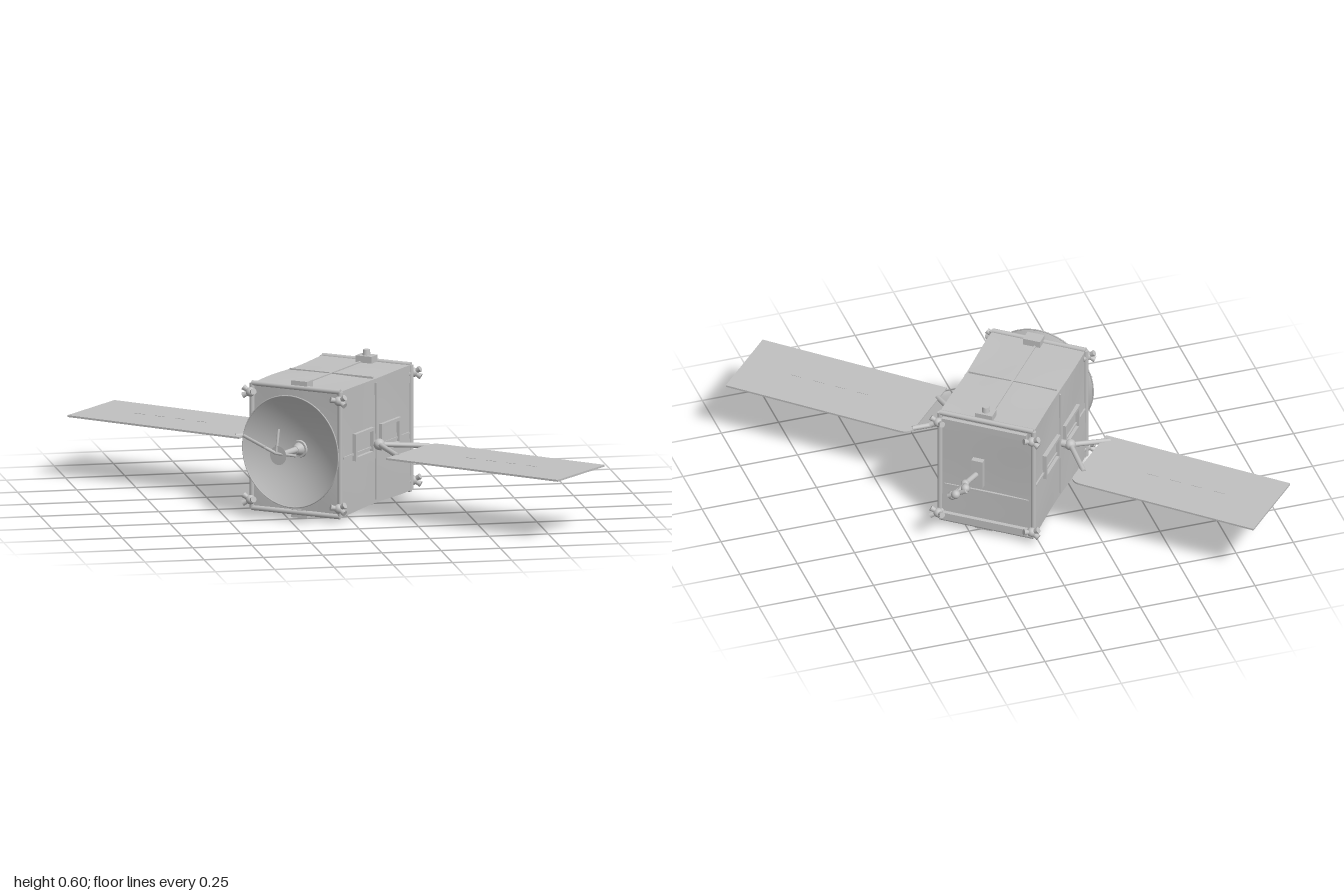
import * as THREE from 'three';

const rad = THREE.MathUtils.degToRad;
const V = (x, y, z) => new THREE.Vector3(x, y, z);

export function createModel() {
  const model = new THREE.Group();
  model.name = 'satellite';
  const grey = new THREE.MeshStandardMaterial({ color: 0xc0c0c0 });
  grey.name = 'satelliteGrey';
  const greyOpen = new THREE.MeshStandardMaterial({ color: 0xc0c0c0, side: THREE.DoubleSide });
  greyOpen.name = 'satelliteGreyThin';

  const add = (parent, name, geo, x = 0, y = 0, z = 0, mat = grey) => {
    const m = new THREE.Mesh(geo, mat);
    m.name = name;
    m.position.set(x, y, z);
    parent.add(m);
    return m;
  };
  const box = (p, name, w, h, d, x, y, z) => add(p, name, new THREE.BoxGeometry(w, h, d), x, y, z);
  const ball = (p, name, r, x, y, z) => add(p, name, new THREE.SphereGeometry(r, 14, 10), x, y, z);
  // Straight rod or cone from a to b
  const rod = (p, name, a, b, r0, r1 = r0) => {
    const d = b.clone().sub(a);
    const m = add(p, name, new THREE.CylinderGeometry(r1, r0, d.length(), 12));
    m.position.copy(a).addScaledVector(d, 0.5);
    m.quaternion.setFromUnitVectors(V(0, 1, 0), d.normalize());
    return m;
  };

  // Bus: everything on the main box shares this turned frame
  const bus = new THREE.Group();
  bus.name = 'bus';
  bus.rotation.y = rad(-38.5);
  model.add(bus);
  const X0 = -0.235, X1 = 0.178, Z0 = -0.325, Z1 = 0.305, Y0 = 0.022, Y1 = 0.55;
  const cx = (X0 + X1) / 2, cy = (Y0 + Y1) / 2, cz = (Z0 + Z1) / 2;
  const W = X1 - X0, H = Y1 - Y0, D = Z1 - Z0;

  // Body wrapped in a softly wrinkled blanket
  const skin = new THREE.BoxGeometry(W, H, D, 28, 32, 36);
  const pos = skin.attributes.position;
  for (let i = 0; i < pos.count; i++) {
    const x = pos.getX(i), y = pos.getY(i), z = pos.getZ(i);
    const wave = Math.sin(14 * x + 9 * y) + Math.sin(11 * y - 13 * z + 1) + Math.sin(12 * z + 10 * x + 2);
    const k = 1 + 0.006 * wave;
    pos.setXYZ(i, x * k, y * (1 + 0.004 * wave), z * k);
  }
  skin.computeVertexNormals();
  add(bus, 'body', skin, cx, cy, cz);

  // Seams across each blanket face
  for (const s of [-1, 1]) {
    const y = cy + s * H / 2, x = cx + s * W / 2, z = cz + s * D / 2;
    box(bus, 'lengthSeam', 0.008, 0.012, D * 0.94, cx, y, cz);
    box(bus, 'crossSeam', W * 0.94, 0.012, 0.008, cx, y, cz);
    box(bus, 'sideSeam', 0.012, H * 0.94, 0.008, x, cy, cz);
    box(bus, 'sideBelt', 0.012, 0.008, D * 0.94, x, cy - 0.02, cz);
    box(bus, 'endSeam', W * 0.9, 0.008, 0.01, cx, cy - 0.09, z);
  }

  // Rolled edges around both ends
  for (const z of [Z0, Z1]) {
    for (const y of [Y0, Y1]) rod(bus, 'endRail', V(X0, y, z), V(X1, y, z), 0.011);
    for (const x of [X0, X1]) rod(bus, 'cornerPost', V(x, Y0, z), V(x, Y1, z), 0.011);
  }
  // Back lip standing off the top edge
  box(bus, 'backLip', W * 0.9, 0.03, 0.018, cx, Y1 - 0.02, Z0 - 0.026);
  box(bus, 'backLipLower', W * 0.9, 0.03, 0.018, cx, Y0 + 0.03, Z0 - 0.02);

  // Thruster clusters at the eight corners
  for (const sx of [-1, 1]) for (const sy of [-1, 1]) for (const sz of [-1, 1]) {
    const c = V(sx < 0 ? X0 : X1, cy + sy * 0.228, sz < 0 ? Z0 - 0.022 : Z1 + 0.015);
    const g = new THREE.Group();
    g.name = 'thrusterCluster';
    g.position.copy(c);
    bus.add(g);
    ball(g, 'thrusterHub', 0.02, 0, 0, 0);
    rod(g, 'thrusterArm', V(-sx * 0.01, 0, -sz * 0.035), V(0, 0, 0), 0.013);
    for (const [dx, dy, dz] of [[1, 0.6, 0.1], [1, -0.5, 0.2], [-0.7, 0.2, 0.6]]) {
      const tip = V(sx * dx, dy, sz * dz).setLength(0.036);
      rod(g, 'thrusterNozzle', V(0, 0, 0), tip, 0.007, 0.013);
    }
  }

  // Sensor blocks above and below
  for (const z of [0.283, -0.293]) {
    box(bus, 'topSensor', 0.075, 0.034, 0.055, -0.013, Y1 + 0.012, z);
    box(bus, 'bottomSensor', 0.075, 0.034, 0.055, -0.013, 0.017, z);
  }
  add(bus, 'topKnob', new THREE.CylinderGeometry(0.014, 0.018, 0.03, 14), -0.013, 0.588, -0.293);

  // Framed equipment bays on both sides
  for (const x of [X0 - 0.004, X1 + 0.004]) for (const [z, w] of [[0.11, 0.17], [-0.125, 0.17]]) {
    for (const s of [-1, 1]) {
      box(bus, 'bayRail', 0.022, 0.014, w, x, 0.295 + s * 0.05, z);
      box(bus, 'bayPost', 0.022, 0.1, 0.014, x, 0.295, z + s * (w / 2 - 0.007));
    }
  }

  // Back steering antenna on a forked arm
  const arm = new THREE.Group();
  arm.name = 'backAntenna';
  bus.add(arm);
  const elbow = V(0.025, 0.3, -0.44);
  rod(arm, 'antennaArm', V(0.005, 0.29, Z0), elbow, 0.012);
  ball(arm, 'antennaElbow', 0.018, elbow.x, elbow.y, elbow.z);
  for (const [x, y, z] of [[0, 0.325, -0.505], [0.055, 0.28, -0.51], [0.03, 0.31, -0.54]]) {
    rod(arm, 'antennaFork', elbow, V(x, y, z), 0.009);
    ball(arm, 'antennaTip', 0.019, x, y, z);
  }
  rod(arm, 'antennaCrossbar', V(-0.01, 0.325, -0.52), V(0.07, 0.28, -0.52), 0.01);
  box(arm, 'antennaMount', 0.05, 0.13, 0.025, 0.005, 0.295, Z0 - 0.015);

  // Dish, opening along its own +y
  const axis = V(-0.686, 0, 0.727);
  const rim = V(-0.253, 0.297, 0.307);
  const dish = new THREE.Group();
  dish.name = 'dishAntenna';
  dish.position.copy(rim);
  dish.quaternion.setFromUnitVectors(V(0, 1, 0), axis);
  model.add(dish);
  const bowl = [];
  for (let i = 0; i <= 14; i++) {
    const t = i / 14;
    bowl.push(new THREE.Vector2(0.236 * t, -0.075 * (1 - t * t)));
  }
  add(dish, 'dishBowl', new THREE.LatheGeometry(bowl, 56), 0, 0, 0, greyOpen);
  add(dish, 'dishRim', new THREE.TorusGeometry(0.235, 0.003, 6, 56).rotateX(Math.PI / 2));
  add(dish, 'dishMount', new THREE.CylinderGeometry(0.035, 0.05, 0.06, 20), 0, -0.095, 0);
  add(dish, 'feedBase', new THREE.CylinderGeometry(0.016, 0.03, 0.035, 20), 0, -0.055, 0);
  add(dish, 'feedHorn', new THREE.CylinderGeometry(0.011, 0.014, 0.14, 16), 0, 0.015, 0);
  add(dish, 'subreflector', new THREE.CylinderGeometry(0.04, 0.03, 0.014, 28), 0, 0.088, 0);
  // Subreflector struts
  const hub = V(-0.325, 0.305, 0.372);
  const knee = V(-0.365, 0.325, 0.34);
  rod(model, 'dishStrut', hub, knee, 0.007);
  rod(model, 'dishStrut', knee, V(-0.425, 0.345, 0.18), 0.007);
  rod(model, 'dishStrut', hub, V(-0.312, 0.405, 0.355), 0.006);
  rod(model, 'dishStrut', hub, V(-0.25, 0.3, 0.415), 0.006);

  // Solar wings: plate, cell ribs underneath, seam dashes on top
  const L = 0.42, B = 0.183, T = 0.008;
  const wing = (name, x, z, angle, s) => {
    const g = new THREE.Group();
    g.name = name;
    g.position.set(x, 0.269, z);
    g.rotation.y = rad(angle);
    model.add(g);
    const sh = new THREE.Shape();
    sh.moveTo(L, -B);
    sh.lineTo(L, B);
    if (s > 0) {
      sh.lineTo(-L + 0.05, B);
      sh.quadraticCurveTo(-L, B, -L, B - 0.05);
      sh.lineTo(-L, -B);
    } else {
      sh.lineTo(-L, B);
      sh.lineTo(-L, -B + 0.05);
      sh.quadraticCurveTo(-L, -B, -L + 0.05, -B);
    }
    sh.closePath();
    const plate = new THREE.ExtrudeGeometry(sh, { depth: T, bevelEnabled: false, curveSegments: 8 });
    add(g, 'solarPanel', plate.rotateX(Math.PI / 2), 0, T / 2, 0);
    for (let i = 0; i < 9; i++) {
      const side = i % 2 ? 1 : -1;
      box(g, 'cellRib', 0.006, 0.005, B * 1.3, -0.34 + i * 0.085, -T / 2 - 0.001, side * 0.04);
    }
    for (const k of [-0.06, 0.06]) box(g, 'panelSpar', 0.74, 0.005, 0.006, 0, -T / 2 - 0.001, k);
    for (let i = 0; i < 4; i++) box(g, 'seamDash', 0.05, 0.003, 0.004, -0.12 + i * 0.1, T / 2, 0);
  };
  wing('leftWing', 0.565, 0.548, -43, -1);
  wing('rightWing', -0.567, -0.56, 137, 1);

  // V-shaped yokes from the body to the wings
  const yoke = (name, root, hinge, a, b) => {
    const g = new THREE.Group();
    g.name = name;
    model.add(g);
    rod(g, 'yokeRoot', root, hinge, 0.016);
    ball(g, 'yokeHinge', 0.024, hinge.x, hinge.y, hinge.z);
    for (const end of [a, b]) rod(g, 'yokeArm', hinge, end, 0.011);
  };
  yoke('leftYoke', V(0.1, 0.285, 0.11), V(0.152, 0.28, 0.148), V(0.36, 0.27, 0.165), V(0.19, 0.27, 0.345));
  yoke('rightYoke', V(-0.16, 0.285, -0.13), V(-0.22, 0.28, -0.168), V(-0.215, 0.27, -0.36), V(-0.39, 0.27, -0.178));

  return model;
}
